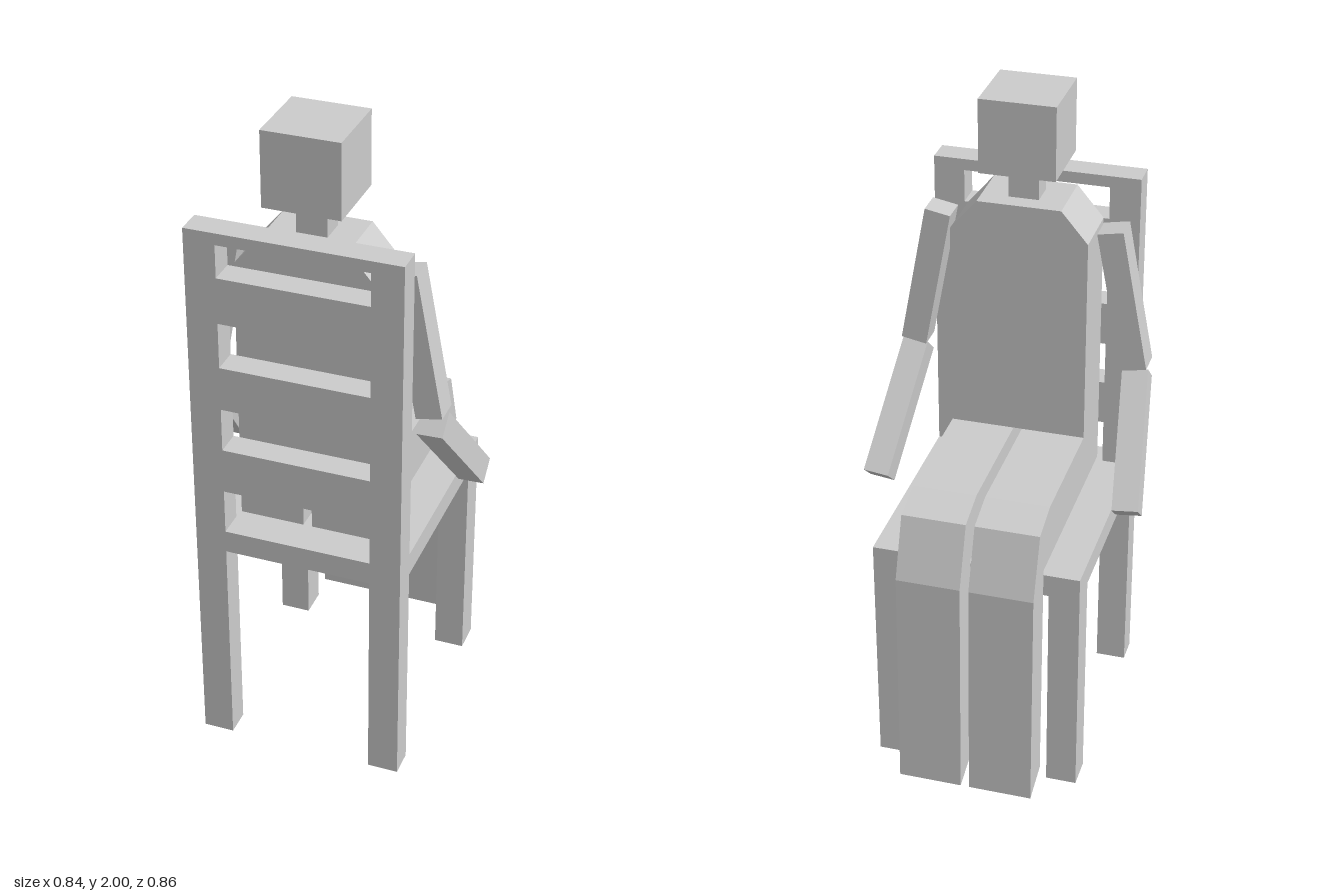
import * as THREE from 'three';

const material = new THREE.MeshStandardMaterial({ color: 0xcccccc, flatShading: true });

function add(parent, name, geometry) {
  const mesh = new THREE.Mesh(geometry, material);
  mesh.name = name;
  parent.add(mesh);
  return mesh;
}

// Box given by its minimum and maximum on each axis
function box(parent, name, [x0, x1], [y0, y1], [z0, z1]) {
  const geometry = new THREE.BoxGeometry(x1 - x0, y1 - y0, z1 - z0);
  geometry.translate((x0 + x1) / 2, (y0 + y1) / 2, (z0 + z1) / 2);
  return add(parent, name, geometry);
}

const points = (list) => list.map(([x, y]) => new THREE.Vector2(x, y));
const extrude = (shape, depth) => new THREE.ExtrudeGeometry(shape, { depth, bevelEnabled: false });

// Square-ended limb running between two points, kept level across x
function limb(parent, name, from, to, width, depth) {
  const a = new THREE.Vector3(...from), b = new THREE.Vector3(...to);
  const y = a.clone().sub(b).normalize();
  const x = new THREE.Vector3(1, 0, 0).addScaledVector(y, -y.x).normalize();
  const z = new THREE.Vector3().crossVectors(x, y);
  const geometry = new THREE.BoxGeometry(width, a.distanceTo(b), depth);
  geometry.applyMatrix4(new THREE.Matrix4().makeBasis(x, y, z).setPosition(a.add(b).multiplyScalar(0.5)));
  return add(parent, name, geometry);
}

function buildChair() {
  const chair = new THREE.Group();
  chair.name = 'chair';

  // Ladder back and rear legs as one pierced frame
  const frame = new THREE.Shape(points([
    [-0.312, 0], [-0.22, 0], [-0.22, 0.68], [0.22, 0.68], [0.22, 0],
    [0.312, 0], [0.312, 1.715], [-0.312, 1.715],
  ]));
  for (const [low, high] of [[0.75, 0.89], [1.03, 1.165], [1.3, 1.44], [1.58, 1.68]]) {
    frame.holes.push(new THREE.Path(points([[-0.22, low], [-0.22, high], [0.22, high], [0.22, low]])));
  }
  add(chair, 'chairBack', extrude(frame, 0.08).translate(0, 0, 0.348));

  // Seat and front legs
  box(chair, 'seat', [-0.312, 0.312], [0.68, 0.75], [-0.3, 0.348]);
  box(chair, 'leftFrontLeg', [0.22, 0.312], [0, 0.68], [-0.3, -0.207]);
  box(chair, 'rightFrontLeg', [-0.312, -0.22], [0, 0.68], [-0.3, -0.207]);
  return chair;
}

function buildFigure() {
  const figure = new THREE.Group();
  figure.name = 'seatedFigure';

  // Head and neck
  box(figure, 'head', [-0.113, 0.113], [1.777, 2], [0.133, 0.359]);
  box(figure, 'neck', [-0.045, 0.045], [1.68, 1.777], [0.208, 0.284]);

  // Torso with sloping shoulders
  const torso = new THREE.Shape(points([
    [-0.205, 0.945], [0.205, 0.945], [0.205, 1.585], [0.125, 1.68], [-0.125, 1.68], [-0.205, 1.585],
  ]));
  add(figure, 'torso', extrude(torso, 0.188).translate(0, 0, 0.153));

  // Bent leg profile in z and y
  const leg = new THREE.Shape(points([
    [0.341, 0.768], [0.341, 0.945], [-0.237, 0.945], [-0.346, 0.912],
    [-0.413, 0.73], [-0.428, 0.02], [-0.32, 0.055], [-0.303, 0.768],
  ]));

  for (const [side, s] of [['left', 1], ['right', -1]]) {
    const legGeometry = extrude(leg, 0.192).translate(0, 0, -0.096).rotateY(-Math.PI / 2);
    add(figure, side + 'Leg', legGeometry.translate(s * 0.109, 0, 0));
    limb(figure, side + 'UpperArm', [s * 0.258, 1.605, 0.242], [s * 0.339, 1.172, 0.242], 0.078, 0.082);
    limb(figure, side + 'Forearm', [s * 0.34, 1.14, 0.25], [s * 0.383, 0.822, -0.028], 0.078, 0.078);
  }
  return figure;
}

export function createModel() {
  const model = new THREE.Group();
  model.name = 'figureOnChair';
  model.add(buildChair(), buildFigure());
  return model;
}
